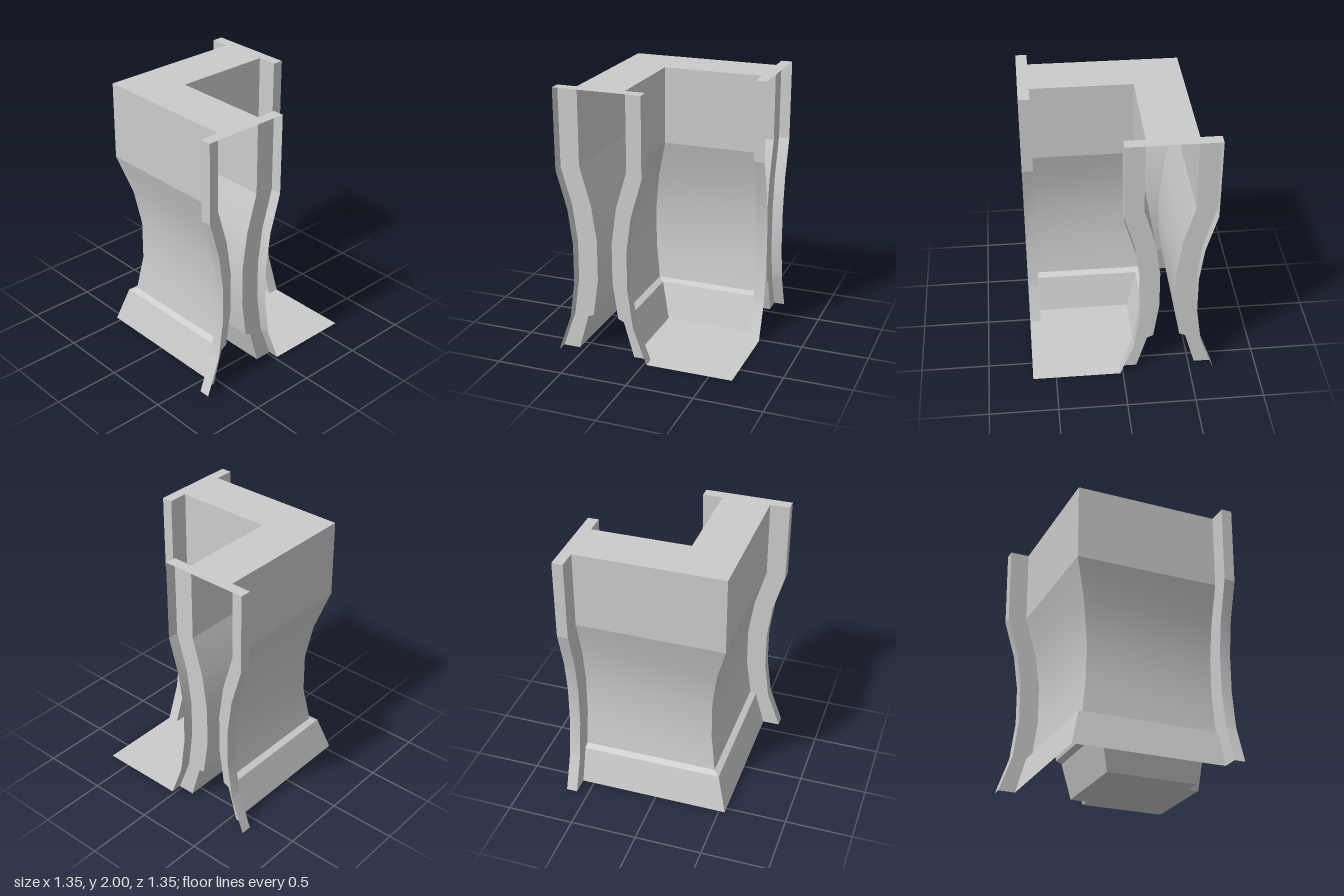
import * as THREE from 'three';
import { toCreasedNormals } from 'three/addons/utils/BufferGeometryUtils.js';

const END = 0.672; // open end of each arm
const STEP = 0.59; // where the end collar begins

// Profiles from bottom to top: [y of wall, wall position, y of collar, collar position]
const OUTER = [
  [0, -0.545, 0, -0.675],
  [0.268, -0.47, 0.268, -0.579],
  [0.288, -0.425, 0.288, -0.573],
  [0.57, -0.385, 0.57, -0.535],
  [0.87, -0.385, 0.86, -0.535],
  [1.14, -0.425, 1.12, -0.57],
  [1.425, -0.508, 1.405, -0.652],
  [2, -0.508, 2, -0.655],
];
const INNER = [
  [0, -0.108, 0, 0.022],
  [0.268, -0.185, 0.268, -0.077],
  [0.288, -0.23, 0.288, -0.081],
  [0.57, -0.27, 0.57, -0.12],
  [0.87, -0.27, 0.86, -0.12],
  [1.14, -0.232, 1.12, -0.085],
  [1.425, -0.148, 1.405, -0.001],
  [2, -0.148, 2, 0],
];

// L-shaped plan line of one wall, with a stepped collar at both ends
function planLine([wallY, wall, collarY, collar]) {
  const half = [
    [collar, collarY, END],
    [collar, collarY, STEP],
    [wall, wallY, STEP],
  ];
  const mirrored = half.map(([x, y, z]) => [z, y, x]).reverse();
  return [...half, [wall, wallY, wall], ...mirrored];
}

// Skin the plan lines of a profile into one sheet
function wallSheet(profile, flip) {
  const rows = profile.map(planLine);
  const n = rows[0].length;
  const index = [];
  for (let r = 0; r < rows.length - 1; r++) {
    for (let c = 0; c < n - 1; c++) {
      const a = r * n + c, b = a + 1, d = a + n, e = d + 1;
      if (flip) index.push(a, e, b, a, d, e);
      else index.push(a, b, e, a, e, d);
    }
  }
  const geometry = new THREE.BufferGeometry();
  geometry.setAttribute('position', new THREE.Float32BufferAttribute(rows.flat(2), 3));
  geometry.setIndex(index);
  return toCreasedNormals(geometry, THREE.MathUtils.degToRad(14));
}

// Flat horizontal plate facing up, from plan points [x, y, z]
function plate(points, y) {
  const shape = new THREE.Shape(points.map(([x, , z]) => new THREE.Vector2(x, -z)));
  return new THREE.ShapeGeometry(shape).rotateX(-Math.PI / 2).translate(0, y, 0);
}

export function createModel() {
  const group = new THREE.Group();
  const material = new THREE.MeshStandardMaterial({ color: 0xcccccc, side: THREE.DoubleSide });
  const add = (name, geometry) => {
    const mesh = new THREE.Mesh(geometry, material);
    mesh.name = name;
    group.add(mesh);
  };

  // Waisted walls on both sides of the hollow corner
  add('outerWall', wallSheet(OUTER, true));
  add('innerWall', wallSheet(INNER, false));

  // Cap between the two walls
  const topOuter = planLine(OUTER.at(-1));
  const topInner = planLine(INNER.at(-1));
  add('topCap', plate([...topOuter, ...topInner.reverse()], 2));

  // Floor inside the corner
  add('floor', plate([...planLine(INNER[0]), [END, 0, END]], 0));

  return group;
}
